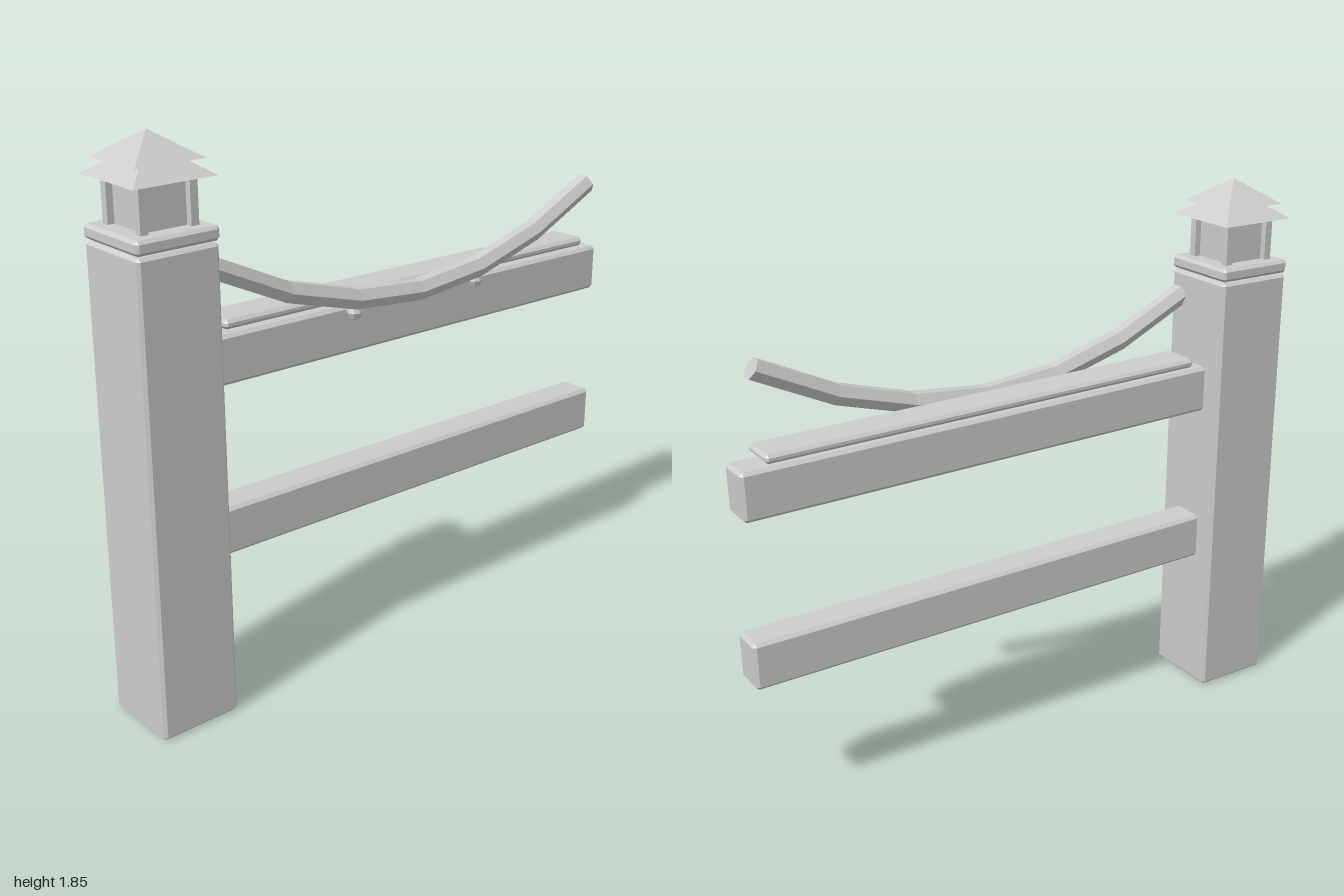
import * as THREE from 'three';
import { ConvexGeometry } from 'three/addons/geometries/ConvexGeometry.js';

const grey = new THREE.MeshStandardMaterial({ color: 0xcccccc });
grey.name = 'plainGrey';

// Give every facet its own flat normal
function faceted(geometry) {
  const flat = geometry.index ? geometry.toNonIndexed() : geometry;
  flat.computeVertexNormals();
  return flat;
}

// Box with every edge chamfered by b
function chamferBox(w, h, d, b) {
  const points = [];
  for (const x of [-w / 2, w / 2])
    for (const y of [-h / 2, h / 2])
      for (const z of [-d / 2, d / 2]) {
        const p = new THREE.Vector3(x, y, z);
        const inset = new THREE.Vector3(Math.sign(x), Math.sign(y), Math.sign(z)).multiplyScalar(b);
        for (const axis of ['x', 'y', 'z']) {
          const q = p.clone().sub(inset);
          q[axis] = p[axis];
          points.push(q);
        }
      }
  return new ConvexGeometry(points);
}

export function createModel() {
  const model = new THREE.Group();
  model.name = 'fenceEnd';

  function add(name, geometry, x, y, z, parent = model) {
    const mesh = new THREE.Mesh(geometry, grey);
    mesh.name = name;
    mesh.position.set(x, y, z);
    parent.add(mesh);
    return mesh;
  }

  // Post and its cap
  const postX = -0.86;
  add('post', chamferBox(0.275, 1.53, 0.275, 0.01), postX, 0.765, 0);
  add('postCap', chamferBox(0.28, 0.045, 0.28, 0.01), postX, 1.5575, 0);

  // Lantern: recessed core, four corner posts, two stacked pyramid roofs
  const lantern = new THREE.Group();
  lantern.name = 'lantern';
  lantern.position.set(postX, 0, 0);
  model.add(lantern);
  add('lanternCore', new THREE.BoxGeometry(0.15, 0.16, 0.15), 0, 1.65, 0, lantern);
  for (const x of [-1, 1])
    for (const z of [-1, 1])
      add('lanternPost', new THREE.BoxGeometry(0.026, 0.16, 0.026), x * 0.084, 1.65, z * 0.084, lantern);

  function roof(name, half, height, base) {
    const cone = new THREE.ConeGeometry(half * Math.SQRT2, height, 4);
    cone.rotateY(Math.PI / 4);
    add(name, faceted(cone), 0, base + height / 2, 0, lantern);
  }
  roof('lowerRoof', 0.139, 0.095, 1.722);
  roof('upperRoof', 0.117, 0.08, 1.77);

  // Slightly sagging rails
  const tilt = -0.0175;
  for (const [name, y] of [['upperRail', 1.126], ['lowerRail', 0.566]])
    add(name, chamferBox(1.8, 0.16, 0.12, 0.011), 0.098, y, 0).rotation.z = tilt;

  // Board lying on the upper rail
  add('board', chamferBox(1.585, 0.03, 0.135, 0.01), 0.13, 1.235, -0.006).rotation.z = tilt;

  // Curved six-sided handrail, sampled evenly along x
  const railZ = 0.097;
  const curve = new THREE.QuadraticBezierCurve3(
    new THREE.Vector3(-0.73, 1.45, railZ),
    new THREE.Vector3(0.075, 0.99, railZ),
    new THREE.Vector3(0.88, 1.45, railZ));
  curve.getPointAt = (u, target) => curve.getPoint(u, target);
  curve.getTangentAt = (u, target) => curve.getTangent(u, target);
  const radius = 0.037;
  add('handrail', faceted(new THREE.TubeGeometry(curve, 6, radius, 6)), 0, 0, 0);
  for (const end of [0, 1]) {
    const p = curve.getPoint(end);
    const outward = curve.getTangent(end).multiplyScalar(end ? 1 : -1);
    add('handrailEnd', new THREE.CircleGeometry(radius, 6), p.x, p.y, p.z).lookAt(p.clone().add(outward));
  }

  // Small faceted pegs under the handrail
  for (const x of [-0.192, 0.338])
    add('handrailPeg', faceted(new THREE.SphereGeometry(0.026, 8, 4)), x, 1.2, 0.095);

  return model;
}
